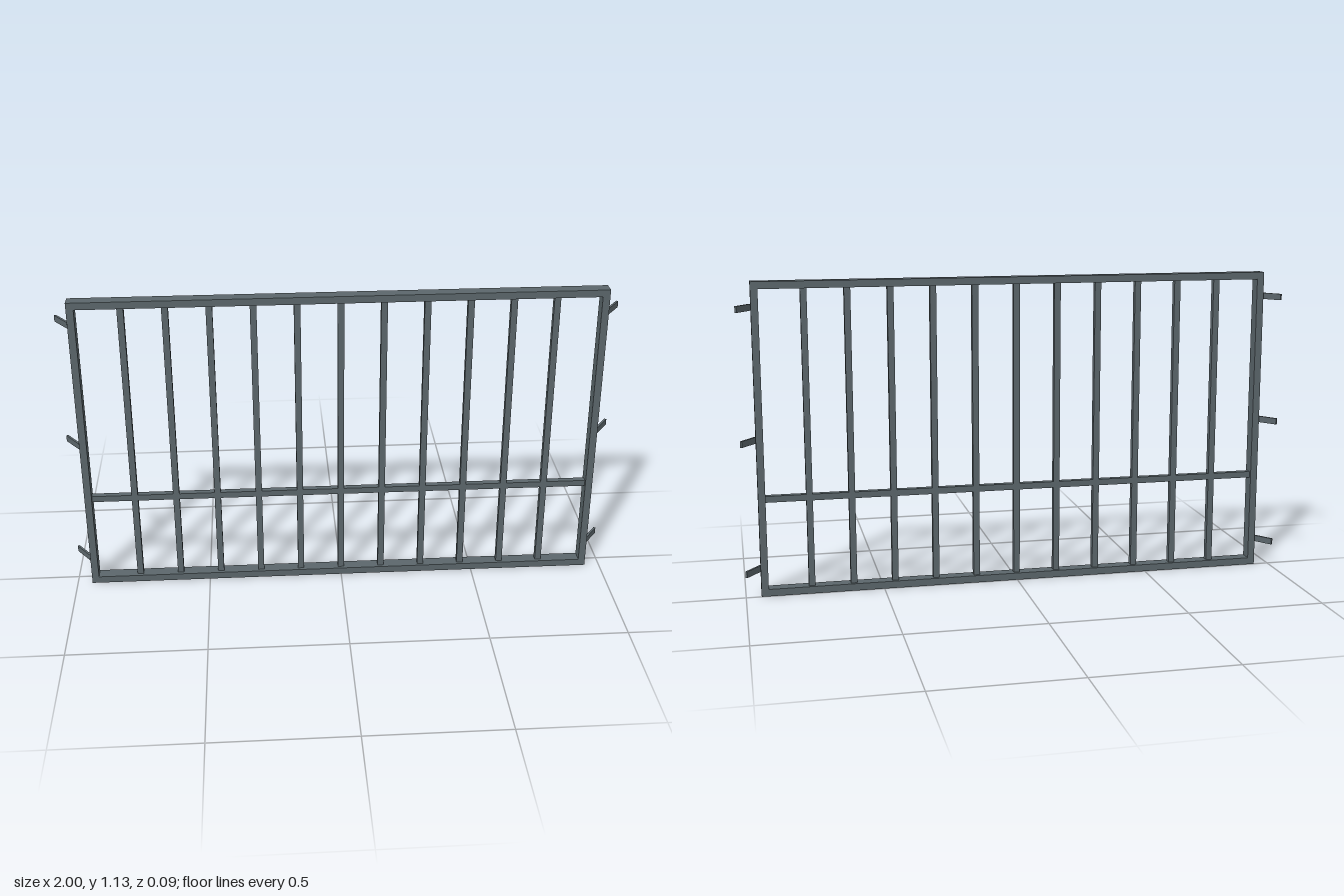
import * as THREE from 'three';

export function createModel() {
  const group = new THREE.Group();
  const metal = new THREE.MeshStandardMaterial({ color: 0x5b666b });
  const W = 0.945, H = 1.135, D = 0.047, T = 0.026, BAR = 0.023;

  const add = (name, geometry, x, y, z) => {
    const mesh = new THREE.Mesh(geometry, metal);
    mesh.name = name;
    mesh.position.set(x, y, z);
    group.add(mesh);
    return mesh;
  };

  // Outer rectangular frame with one large opening
  const outline = new THREE.Shape([
    new THREE.Vector2(-W, 0), new THREE.Vector2(W, 0),
    new THREE.Vector2(W, H), new THREE.Vector2(-W, H),
  ]);
  outline.holes.push(new THREE.Path([
    new THREE.Vector2(-W + T, T), new THREE.Vector2(-W + T, H - T),
    new THREE.Vector2(W - T, H - T), new THREE.Vector2(W - T, T),
  ]));
  add('frame', new THREE.ExtrudeGeometry(outline, { depth: D, bevelEnabled: false }), 0, 0, 0);

  // Eleven evenly spaced upright bars
  const upright = new THREE.BoxGeometry(BAR, H - 2 * T, BAR);
  for (let i = -5; i <= 5; i++) add('uprightBar', upright, i * 0.1525, H / 2, D / 2);

  // Horizontal bar crossing the uprights
  add('crossBar', new THREE.BoxGeometry(2 * (W - T), BAR, BAR), 0, 0.357, D / 2);

  // Flat mounting tabs angled backwards from both sides
  const dx = 0.052, dz = 0.07;
  const tab = new THREE.BoxGeometry(Math.hypot(dx, dz), 0.023, 0.008);
  for (const side of [-1, 1]) {
    for (const y of [0.1, 0.573, 1.045]) {
      const mesh = add('mountingTab', tab, side * (W + dx / 2), y, 0.025 - dz / 2);
      mesh.rotation.y = side * Math.atan2(dz, dx);
    }
  }
  return group;
}
